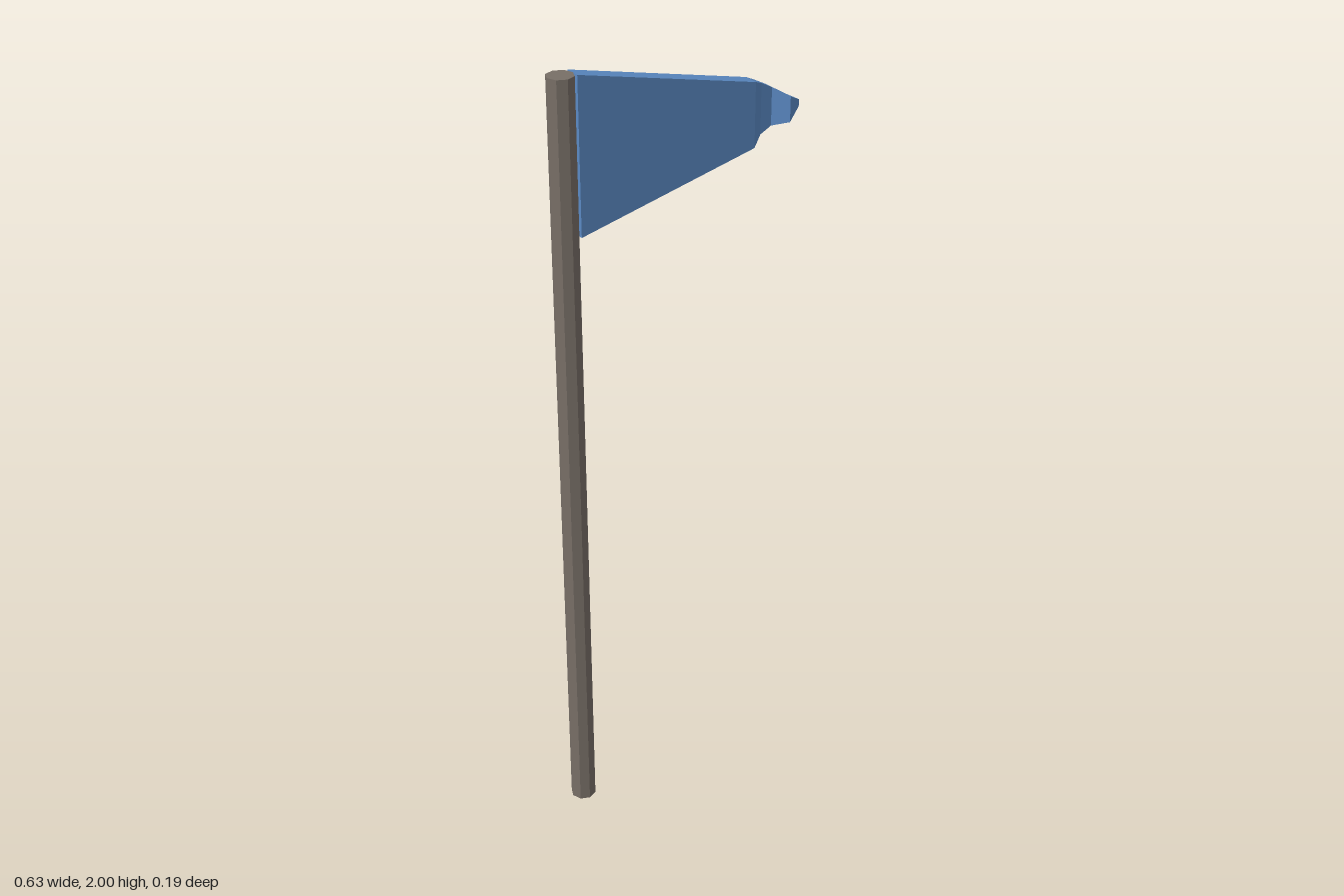
import * as THREE from 'three';

// Lofts a closed solid through four-cornered rings, with flat faces.
function loftRings(rings) {
  const positions = [];
  const quad = (a, b, c, d) => positions.push(...a, ...b, ...c, ...a, ...c, ...d);
  for (let i = 0; i < rings.length - 1; i++) {
    const p = rings[i], q = rings[i + 1];
    for (let k = 0; k < 4; k++) {
      const n = (k + 1) % 4;
      quad(p[k], q[k], q[n], p[n]);
    }
  }
  const first = rings[0], last = rings[rings.length - 1];
  quad(first[0], first[1], first[2], first[3]);
  quad(last[3], last[2], last[1], last[0]);
  const geometry = new THREE.BufferGeometry();
  geometry.setAttribute('position', new THREE.Float32BufferAttribute(positions, 3));
  geometry.computeVertexNormals();
  return geometry;
}

export function createModel() {
  const group = new THREE.Group();
  group.name = 'flagOnPole';

  const poleGrey = new THREE.MeshStandardMaterial({ color: 0x786f67, flatShading: true });
  poleGrey.name = 'poleGrey';
  const flagBlue = new THREE.MeshStandardMaterial({ color: 0x5b8ac4, flatShading: true });
  flagBlue.name = 'flagBlue';

  // Eight-sided pole
  const pole = new THREE.Mesh(
    new THREE.CylinderGeometry(0.0325, 0.0325, 2, 8, 1, false, THREE.MathUtils.degToRad(32.5)),
    poleGrey
  );
  pole.position.set(-0.287, 1, -0.067);
  pole.name = 'pole';
  group.add(pole);

  // Tapering flag with a rippled tip: back x, z; front x, z; bottom y, top y
  const sections = [
    [-0.252, -0.080, -0.261, -0.041, 1.62, 2.0],
    [0.201, 0.029, 0.192, 0.067, 1.73, 1.89],
    [0.236, 0.022, 0.230, 0.051, 1.748, 1.873],
    [0.266, 0.030, 0.260, 0.057, 1.763, 1.857],
    [0.289, 0.074, 0.283, 0.095, 1.775, 1.838],
    [0.316, 0.086, 0.315, 0.093, 1.805, 1.822],
  ];
  const rings = sections.map(([bx, bz, fx, fz, low, high]) => [
    [bx, low, bz], [fx, low, fz], [fx, high, fz], [bx, high, bz],
  ]);
  const flag = new THREE.Mesh(loftRings(rings), flagBlue);
  flag.name = 'flag';
  group.add(flag);

  return group;
}
